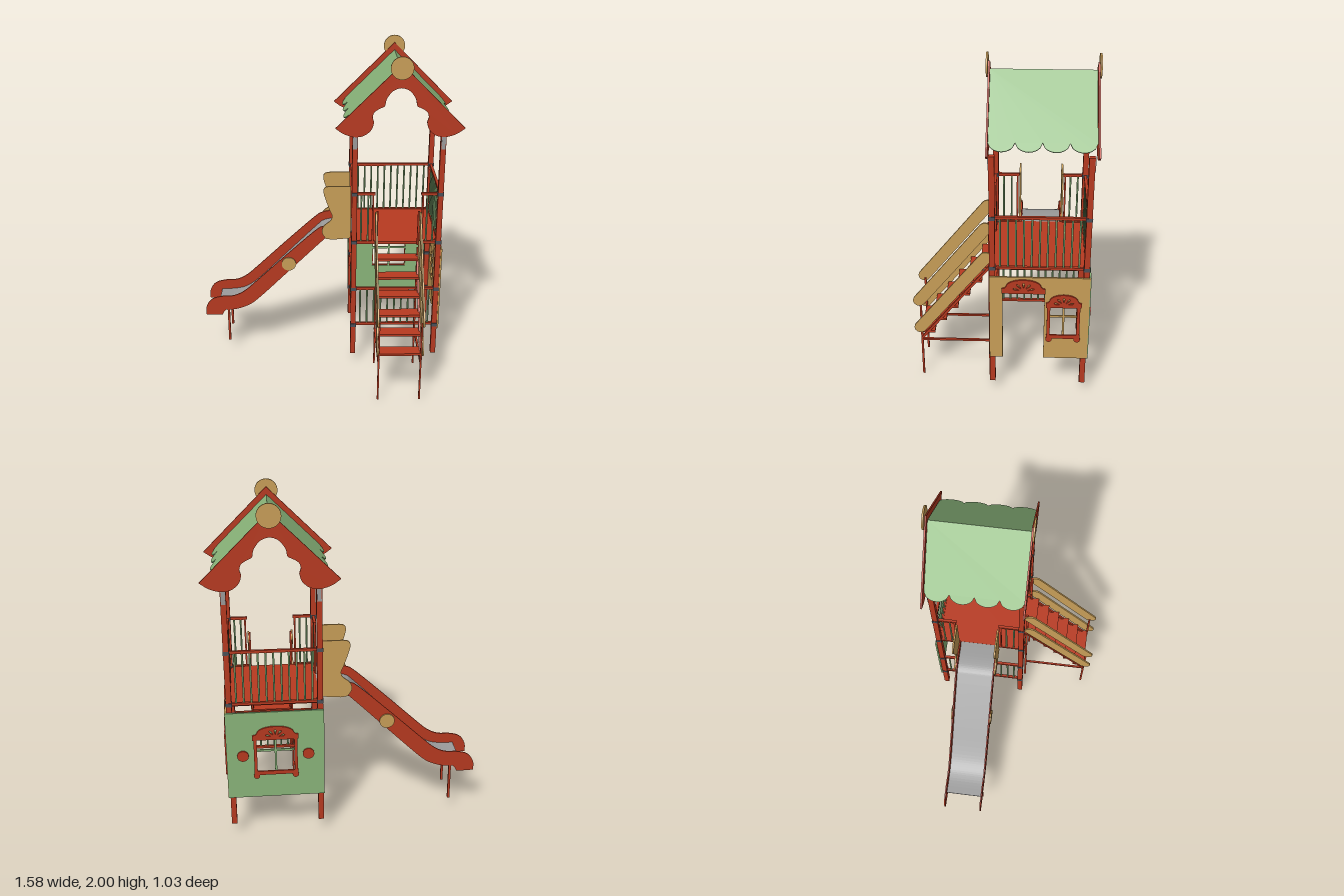
import * as THREE from 'three';

const mat = (name, color) => Object.assign(new THREE.MeshStandardMaterial({ color }), { name });

export function createModel() {
  const red = mat('red paint', 0xb83a20), green = mat('green paint', 0x8ab57a);
  const ochre = mat('ochre board', 0xc99f58), grey = mat('slide steel', 0x9c9c9c);
  const dark = mat('clamp grey', 0x4a5058);
  const model = new THREE.Group();
  model.name = 'playTower';
  const CX = 0.41, CZ = -0.213;
  const PX = [0.15, 0.665], PZ = [0.049, -0.473];

  // ---- helpers ----
  const add = (name, geo, m, parent = model) => {
    const mesh = new THREE.Mesh(geo, m);
    mesh.name = name;
    parent.add(mesh);
    return mesh;
  };
  const box = (name, w, h, d, x, y, z, m, parent) => {
    const b = add(name, new THREE.BoxGeometry(w, h, d), m, parent);
    b.position.set(x, y, z);
    return b;
  };
  const beam = (name, a, b, w, m) => {
    const p = new THREE.Vector3(...a), q = new THREE.Vector3(...b);
    const mesh = add(name, new THREE.BoxGeometry(w, w, p.distanceTo(q)), m);
    mesh.position.copy(p).lerp(q, 0.5);
    mesh.lookAt(q);
    return mesh;
  };
  const vecs = pts => pts.map(p => new THREE.Vector2(p[0], p[1]));
  const smooth = (pts, n = 32) => new THREE.SplineCurve(vecs(pts)).getPoints(n);
  const rect = (x0, y0, x1, y1) => vecs([[x0, y0], [x1, y0], [x1, y1], [x0, y1]]);
  const slab = (pts, depth, holes = []) => {
    const s = new THREE.Shape(pts);
    s.holes = holes.map(h => new THREE.Path(h));
    return new THREE.ExtrudeGeometry(s, { depth, bevelEnabled: false, curveSegments: 10 });
  };
  const disc = (name, r, d, x, y, z, m, parent) => {
    const c = add(name, new THREE.CylinderGeometry(r, r, d, 28).rotateX(Math.PI / 2), m, parent);
    c.position.set(x, y, z);
    return c;
  };
  const stadium = (p, q, r) => {
    const t = Math.atan2(q[1] - p[1], q[0] - p[0]), pts = [];
    for (const [c, a] of [[q, t - Math.PI / 2], [p, t + Math.PI / 2]])
      for (let i = 0; i <= 10; i++) {
        const k = a + Math.PI * i / 10;
        pts.push([c[0] + r * Math.cos(k), c[1] + r * Math.sin(k)]);
      }
    return vecs(pts);
  };

  // ---- corner posts with clamps and top brackets ----
  for (const x of PX) for (const z of PZ) {
    box('post', 0.032, 1.46, 0.032, x, 0.8, z, red);
    for (const y of [0.275, 0.53, 0.85, 1.165]) box('postClamp', 0.037, 0.022, 0.037, x, y, z, dark);
    const s = z > CZ ? 1 : -1;
    box('postBracket', 0.024, 0.08, 0.006, x, 1.49, z + s * 0.017, grey);
  }
  box('deck', 0.515, 0.016, 0.522, 0.4075, 0.843, -0.212, red);

  // ---- railings ----
  const railing = (a, b, y0, y1) => {
    const g = new THREE.Group();
    g.name = 'railing';
    const dx = b[0] - a[0], dz = b[1] - a[1], len = Math.hypot(dx, dz);
    g.position.set(a[0], 0, a[1]);
    g.rotation.y = Math.atan2(-dz, dx);
    for (const y of [y0, y1]) box('rail', len, 0.016, 0.016, len / 2, y, 0, red, g);
    for (const x of [0.012, len - 0.012]) box('railStile', 0.01, y1 - y0, 0.012, x, (y0 + y1) / 2, 0, red, g);
    const n = Math.max(2, Math.round(len / 0.043) - 1);
    for (let i = 1; i <= n; i++) {
      const bar = add('railBar', new THREE.CylinderGeometry(0.0055, 0.0055, y1 - y0, 8), green, g);
      bar.position.set(len * i / (n + 1), (y0 + y1) / 2, 0);
    }
    model.add(g);
  };
  const [xl, xr] = PX, [zf, zb] = PZ;
  railing([xr, zf], [xr, zb], 0.85, 1.165);
  railing([xl, zb], [xr, zb], 0.85, 1.165);
  railing([xl, zf], [0.275, zf], 0.85, 1.165);
  railing([0.55, zf], [xr, zf], 0.85, 1.165);
  railing([xl, zf], [xl, -0.09], 0.85, 1.165);
  railing([xl, -0.345], [xl, zb], 0.85, 1.165);
  railing([xl, zf], [xr, zf], 0.28, 0.53);
  railing([xl, zf], [xl, zb], 0.28, 0.53);

  // ---- gables with scalloped arch and ridge discs ----
  const half = [...smooth([[-0.376, 1.58], [-0.325, 1.545], [-0.26, 1.527], [-0.205, 1.538], [-0.165, 1.575], [-0.153, 1.617]], 14),
    ...smooth([[-0.162, 1.645], [-0.155, 1.672], [-0.135, 1.69], [-0.095, 1.71]], 10),
    ...smooth([[-0.09, 1.72], [-0.083, 1.755], [-0.055, 1.795], [-0.025, 1.813], [0, 1.818]], 12)];
  const mirrored = half.slice(0, -1).reverse().map(p => new THREE.Vector2(-p.x, p.y));
  const gable = slab([new THREE.Vector2(0, 1.956), ...half, ...mirrored], 0.01);
  for (const [z, dz] of [[0.064, 0.079], [-0.508, -0.511]]) {
    add('gable', gable, red).position.set(CX, 0, z);
    disc('ridgeDisc', 0.066, 0.01, CX, 1.934, dz, ochre);
  }

  // ---- roof panels with four lobes along each eave ----
  const W = 0.562, lobes = [[W, 0], [0, 0]];
  for (let k = 0; k < 4; k++) for (let i = 0; i <= 12; i++)
    lobes.push([W * (k + i / 12) / 4, 0.41 + 0.05 * Math.sqrt(Math.max(0, Math.sin(Math.PI * i / 12)))]);
  for (const s of [1, -1]) {
    const X = new THREE.Vector3(0, 0, -s), Y = new THREE.Vector3(s, -1, 0).normalize();
    const m = new THREE.Matrix4().makeBasis(X, Y, X.clone().cross(Y));
    m.setPosition(CX, 1.912, s > 0 ? 0.066 : -0.496);
    add('roofPanel', slab(vecs(lobes), 0.008).applyMatrix4(m), green);
  }

  // ---- lower wall boards, drawn facing +z and then turned ----
  const crown = (g, x, y, w, h) => {
    const k = w / 2, pts = [[-k, 0], [-k, h * 0.35], [-k * 0.86, h * 0.4]];
    for (let i = 0; i <= 12; i++) {
      const a = Math.PI * (1 - i / 12);
      pts.push([k * 0.8 * Math.cos(a), h * (0.5 + 0.5 * Math.sin(a))]);
    }
    pts.push([k * 0.86, h * 0.4], [k, h * 0.35], [k, 0]);
    const rays = [];
    for (let i = 0; i < 5; i++) {
      const a = Math.PI * (0.1 + 0.2 * i), c = Math.cos(a), s = Math.sin(a), r = h * 0.62;
      const at = (t, o) => [c * r * t * 1.15 - s * o, h * 0.18 + s * r * t + c * o];
      rays.push(vecs([at(0.35, 0), at(0.8, -h * 0.07), at(1, 0), at(0.8, h * 0.07)]));
    }
    add('crown', slab(vecs(pts), 0.009, rays), red, g).position.set(x, y, 0.01);
  };
  const windowTrim = (g, x, y0, y1, w, m) => {
    const mid = (y0 + y1) / 2;
    box('mullion', 0.012, y1 - y0, 0.008, x, mid, 0.005, m, g);
    box('transom', w, 0.012, 0.008, x, mid + 0.03, 0.005, m, g);
    crown(g, x, y1 - 0.005, w + 0.04, 0.085);
    box('sill', w + 0.03, 0.024, 0.009, x, y0 - 0.004, 0.0145, red, g);
    for (const s of [-1, 1]) {
      box('windowFrame', 0.018, y1 - y0, 0.009, x + s * (w / 2 + 0.004), mid, 0.0145, red, g);
      disc('sillKnob', 0.018, 0.009, x + s * w / 2, y0 - 0.022, 0.0145, red, g);
    }
  };
  const wall = (name, x, z, turn) => {
    const g = new THREE.Group();
    g.name = name;
    g.position.set(x, 0, z);
    g.rotation.y = turn;
    model.add(g);
    return g;
  };
  const back = wall('backWall', CX, -0.49, Math.PI);
  add('backBoard', slab(rect(-0.28, 0.255, 0.28, 0.803), 0.01, [rect(-0.112, 0.42, 0.112, 0.635)]), green, back);
  windowTrim(back, 0, 0.42, 0.635, 0.224, green);
  for (const s of [-1, 1]) disc('wallButton', 0.033, 0.009, s * 0.188, 0.53, 0.0145, red, back);

  const side = wall('sideWall', 0.682, 0, Math.PI / 2);
  const outline = vecs([[-0.065, 0.255], [0.01, 0.255], [0.01, 0.7], [0.243, 0.7], [0.243, 0.255],
    [0.495, 0.255], [0.495, 0.803], [-0.065, 0.803]]);
  add('sideBoard', slab(outline, 0.01, [rect(0.272, 0.415, 0.432, 0.615)]), ochre, side);
  windowTrim(side, 0.352, 0.415, 0.615, 0.16, ochre);
  crown(side, 0.126, 0.7, 0.245, 0.09);

  // ---- stairs ----
  for (let i = 0; i < 6; i++)
    box('step', 0.254, 0.014, 0.08, 0.413, 0.31 + i * 0.09, 0.436 - i * 0.0705, red);
  for (const [x, s] of [[0.28, 1], [0.546, -1]]) {
    const slope = (name, y0, y1) => add(name, slab(stadium([-0.48, y0], [-0.093, y1], 0.036), 0.01).rotateY(Math.PI / 2), ochre)
      .position.set(x - 0.005, 0, 0);
    slope('handrail', 0.537, 1.025);
    slope('stairSide', 0.347, 0.835);
    const xi = x + s * 0.008;
    beam('stringer', [xi, 0.27, 0.47], [xi, 0.77, 0.07], 0.014, red);
    box('stairFrontLeg', 0.01, 0.52, 0.012, xi, 0.26, 0.474, red);
    box('stairBackLeg', 0.01, 0.82, 0.012, xi, 0.41, 0.071, red);
    box('entrancePost', 0.012, 0.22, 0.014, xi, 0.95, 0.071, red);
    beam('stairTie', [xi, 0.255, 0.474], [xi, 0.255, 0.071], 0.012, red);
  }

  // ---- slide ----
  const top = smooth([[-0.797, 0.265], [-0.794, 0.323], [-0.758, 0.376], [-0.695, 0.397], [-0.615, 0.403], [-0.547, 0.435],
    [-0.468, 0.505], [-0.28, 0.683], [-0.09, 0.857], [-0.034, 0.89], [0.034, 0.9], [0.135, 0.9]], 60);
  const low = smooth([[0.135, 0.812], [0.04, 0.812], [-0.02, 0.805], [-0.055, 0.778], [-0.26, 0.575], [-0.468, 0.372],
    [-0.547, 0.323], [-0.615, 0.303], [-0.668, 0.3], [-0.695, 0.262]], 50);
  const sideGeo = slab([...top, ...low], 0.008);
  const shield = slab([...smooth([[-0.02, 0.808], [-0.045, 0.85], [-0.033, 0.895], [0.008, 0.93], [0.018, 0.965],
    [0, 1.01], [-0.033, 1.11], [-0.028, 1.15], [0.005, 1.16]], 30), ...vecs([[0.135, 1.16], [0.135, 0.812], [0.02, 0.802]])], 0.01);
  for (const [z, s] of [[-0.102, 1], [-0.334, -1]]) {
    add('slideSide', sideGeo, red).position.z = z - 0.004;
    add('slideShield', shield, ochre).position.z = z + s * 0.009 - 0.005;
    disc('slideDisc', 0.045, 0.008, -0.256, 0.631, z + s * 0.008, ochre);
    box('slideLeg', 0.014, 0.25, 0.014, -0.653, 0.195, z - s * 0.01, red);
  }
  const bed = smooth([[0.15, 0.85], [0.04, 0.848], [-0.03, 0.835], [-0.08, 0.795], [-0.26, 0.617], [-0.45, 0.428],
    [-0.54, 0.36], [-0.615, 0.337], [-0.715, 0.333]], 48);
  const under = bed.map(p => new THREE.Vector2(p.x, p.y - 0.008)).reverse();
  add('slideBed', slab([...bed, ...under], 0.226), grey).position.z = -0.331;
  for (let i = 0; i < 6; i++) {
    const rib = box('slideRib', 0.018, 0.012, 0.224, -0.09 - i * 0.07, 0.77 - i * 0.0695, -0.218, red);
    rib.rotation.z = Math.PI / 4;
  }
  box('slideFootRib', 0.018, 0.012, 0.224, -0.653, 0.32, -0.218, red);
  return model;
}
